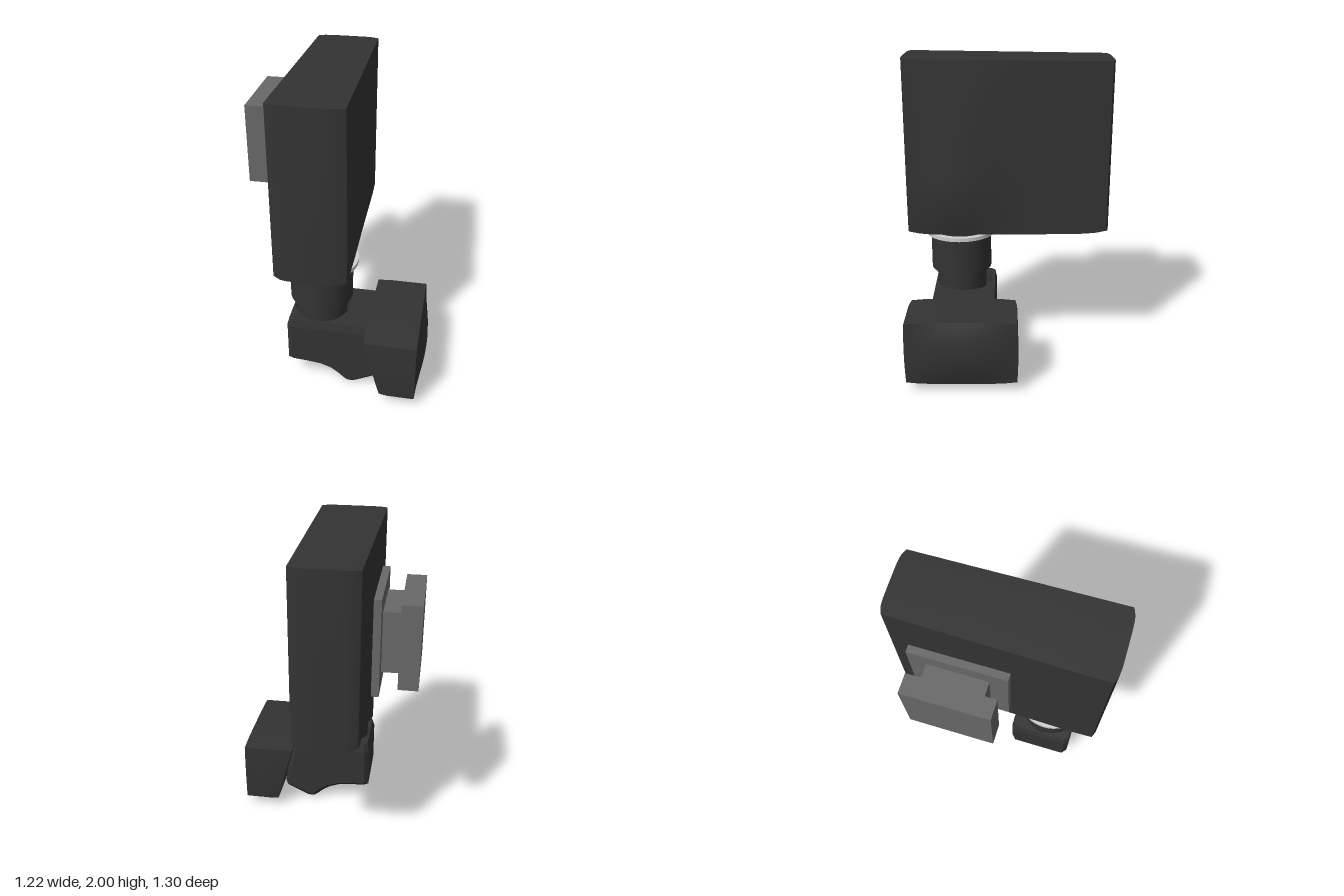
import * as THREE from 'three';
import { toCreasedNormals } from 'three/addons/utils/BufferGeometryUtils.js';

const black = new THREE.MeshStandardMaterial({ color: 0x333333 });
black.name = 'black';
const grey = new THREE.MeshStandardMaterial({ color: 0x686868 });
grey.name = 'grey';
const silver = new THREE.MeshStandardMaterial({ color: 0xd0d0d0 });
silver.name = 'silver';

const lerp = THREE.MathUtils.lerp;
const neckX = -0.09, neckZ = 0.315;

// Move every vertex of a geometry by a rule, then keep only the real edges sharp
function warp(geometry, rule) {
  const pos = geometry.attributes.position;
  const p = new THREE.Vector3();
  for (let i = 0; i < pos.count; i++) {
    p.fromBufferAttribute(pos, i);
    rule(p);
    pos.setXYZ(i, p.x, p.y, p.z);
  }
  return toCreasedNormals(geometry, 0.45);
}

function shapeOf(points) {
  return new THREE.Shape(points.map(([x, y]) => new THREE.Vector2(x, y)));
}

export function createModel() {
  const group = new THREE.Group();

  function add(name, geometry, material) {
    const mesh = new THREE.Mesh(geometry, material);
    mesh.name = name;
    group.add(mesh);
    return mesh;
  }
  function disc(name, radius, y0, y1, material) {
    add(name, new THREE.CylinderGeometry(radius, radius, y1 - y0, 48), material)
      .position.set(neckX, (y0 + y1) / 2, neckZ);
  }
  function block(name, x0, x1, y0, y1, z0, z1) {
    add(name, new THREE.BoxGeometry(x1 - x0, y1 - y0, z1 - z0), grey)
      .position.set((x0 + x1) / 2, (y0 + y1) / 2, (z0 + z1) / 2);
  }

  // Housing: tall slab, slightly tapered, with a swelling above the neck
  add('housing', warp(new THREE.BoxGeometry(2, 2, 2, 10, 14, 20), (p) => {
    const { x: u, y: v, z: w } = p;
    const t = (w + 1) / 2;
    const yTop = lerp(1.985, 2, t);
    const yBottom = 0.868 + 0.022 * Math.pow(Math.abs(w), 8) + 0.015 * Math.pow(Math.abs(u), 8);
    const y = lerp(yBottom, yTop, (v + 1) / 2);
    const z = w * (0.652 - 0.022 * Math.pow(Math.abs(u), 6));
    const rise = y > 1.2 ? (2 - y) / 0.8 : 1 - Math.pow((1.2 - y) / 0.33, 2);
    const swell = 0.042 * Math.max(0, rise) * Math.exp(-Math.pow((z - 0.32) / 0.25, 2));
    p.set(lerp(lerp(-0.29, -0.315, t), lerp(0.11, 0.123, t) + swell, (u + 1) / 2), y, z);
  }), black);

  // Stepped mounting plate on the side
  block('mountBasePlate', -0.385, -0.34, 1.18, 1.775, -0.49, 0.095);
  block('mountStem', -0.49, -0.385, 1.29, 1.665, -0.385, -0.015);
  block('mountOuterPlate', -0.61, -0.49, 1.22, 1.74, -0.46, 0.065);

  // Neck with its bright ring
  disc('neckRing', 0.235, 0.84, 0.865, silver);
  disc('neckCollar', 0.2, 0.59, 0.885, black);
  disc('neck', 0.165, 0.4, 0.6, black);

  // Clamp body: side profile extruded along z, curved underneath
  const topY = 0.42;
  const profile = shapeOf([
    [-0.29, 0.145], [-0.26, 0.132], [-0.17, 0.125], [-0.08, 0.115], [-0.01, 0.09],
    [0.04, 0.055], [0.09, 0.01], [0.11, 0], [0.145, 0.002], [0.295, 0.075],
    [0.31, 0.11], [0.295, 0.22], [0.25, topY], [-0.29, topY],
  ]);
  const clamp = new THREE.ExtrudeGeometry(profile, {
    depth: 0.36, bevelThickness: 0.03, bevelSize: 0.03, bevelOffset: -0.03, bevelSegments: 1,
  });
  clamp.translate(0, 0, 0.11);
  add('clampBody', warp(clamp, (p) => { if (p.y > 0.36) p.y = topY; }), black);

  // Clamp top: a rim around the recess that the neck sits in
  const plan = shapeOf([
    [-0.26, -0.5], [0.25, -0.5], [0.25, -0.08], [-0.26, -0.08], [-0.29, -0.11], [-0.29, -0.47],
  ]);
  plan.holes.push(new THREE.Path().absarc(neckX, -neckZ + 0.025, 0.178, 0, Math.PI * 2, true));
  const rim = new THREE.ExtrudeGeometry(plan, { depth: 0.055, bevelEnabled: false, curveSegments: 32 });
  rim.rotateX(-Math.PI / 2);
  rim.translate(0, topY, 0);
  add('clampRim', warp(rim, (p) => {
    const outside = Math.hypot(p.x - neckX, p.z - 0.29) > 0.185;
    if (p.y > topY + 0.01 && outside) {
      p.x -= Math.sign(p.x) * 0.015;
      p.z -= Math.sign(p.z - 0.29) * 0.01;
    }
  }), black);

  // Knob: wide block with a slanted inner face and a domed outer face
  add('knob', warp(new THREE.BoxGeometry(2, 2, 2, 4, 8, 10), (p) => {
    const { x: u, y: v, z: w } = p;
    const inner = lerp(0.335, 0.23, (v + 1) / 2);
    const outer = 0.56 + 0.045 * (1 - v * v) * (1 - w * w);
    p.set(
      lerp(inner, outer, (u + 1) / 2),
      0.267 + v * (0.214 - 0.012 * Math.pow(w, 4)),
      0.29 + w * (0.353 - 0.006 * v * v - (u < -0.9 ? 0.01 : 0)),
    );
  }), black);

  return group;
}
